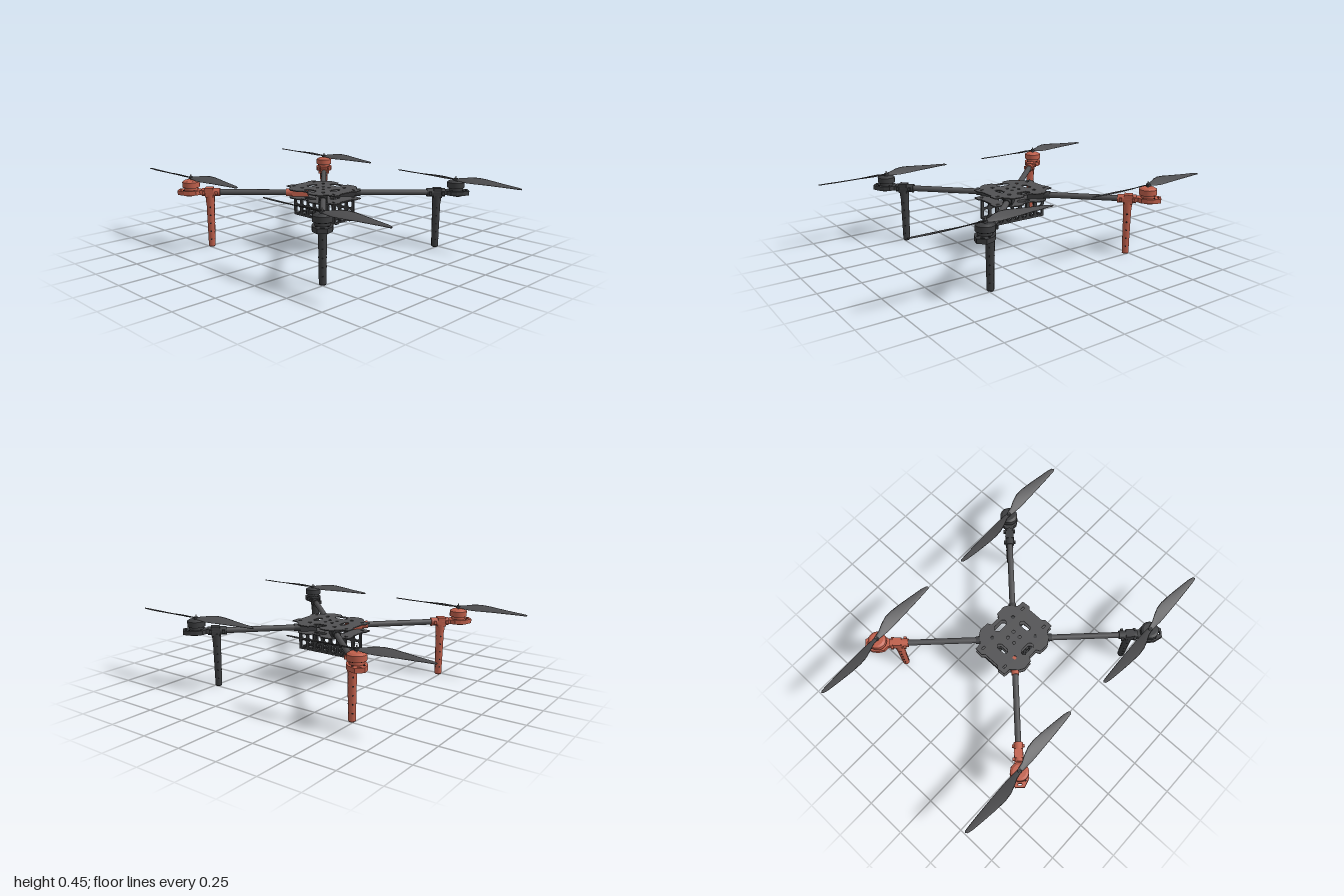
import * as THREE from 'three';

const mat = (name, color) => {
  const m = new THREE.MeshStandardMaterial({ color });
  m.name = name;
  return m;
};

export function createModel() {
  const root = new THREE.Group();
  root.name = 'quadcopter';
  const carbon = mat('carbon grey', 0x515153);
  const dark = mat('dark plastic', 0x3b3c3e);
  const red = mat('red plastic', 0xbf5f4b);
  const black = mat('recess black', 0x1c1c1e);
  const silver = mat('steel', 0xa8a8aa);

  const add = (parent, name, geo, m, x = 0, y = 0, z = 0) => {
    const mesh = new THREE.Mesh(geo, m);
    mesh.name = name;
    mesh.position.set(x, y, z);
    parent.add(mesh);
    return mesh;
  };
  const cyl = (rt, rb, h, n = 24) => new THREE.CylinderGeometry(rt, rb, h, n);
  const box = (w, h, d) => new THREE.BoxGeometry(w, h, d);
  const shapeOf = pts => new THREE.Shape(pts.map(p => new THREE.Vector2(...p)));
  // rectangle with cut corners, used for holes
  const cutRect = (x, y, w, h, c) => new THREE.Path([
    [-w + c, -h], [w - c, -h], [w, -h + c], [w, h - c],
    [w - c, h], [-w + c, h], [-w, h - c], [-w, -h + c],
  ].map(([a, b]) => new THREE.Vector2(x + a, y + b)));
  const extrude = (shape, depth) =>
    new THREE.ExtrudeGeometry(shape, { depth, bevelEnabled: false, curveSegments: 10 });
  const flat = (shape, t) => extrude(shape, t).rotateX(-Math.PI / 2);

  // ---- centre plates
  const q = [[0.03, 0.15], [0.042, 0.174], [0.1, 0.178], [0.13, 0.16], [0.148, 0.135],
    [0.165, 0.118], [0.205, 0.115], [0.208, 0.065], [0.193, 0.05]];
  const rev = q.slice().reverse();
  const outline = [...rev, ...q.map(([x, z]) => [-x, z]),
    ...rev.map(([x, z]) => [-x, -z]), ...q.map(([x, z]) => [x, -z])];
  const plateShape = () => {
    const s = shapeOf(outline);
    for (const k of [-1, 1]) {
      s.holes.push(cutRect(k * 0.098, 0, 0.017, 0.037, 0.012));
      s.holes.push(cutRect(0, k * 0.108, 0.043, 0.02, 0.014));
      s.holes.push(cutRect(k * 0.17, 0.085, 0.012, 0.006, 0.004));
      s.holes.push(cutRect(k * 0.17, -0.085, 0.012, 0.006, 0.004));
      for (const j of [-1, 1]) {
        s.holes.push(cutRect(k * 0.09, j * 0.09, 0.011, 0.011, 0.006));
        s.holes.push(cutRect(k * 0.025, j * 0.025, 0.009, 0.009, 0.005));
      }
    }
    return s;
  };
  add(root, 'topPlate', flat(plateShape(), 0.006), carbon, 0, 0.362, 0);
  add(root, 'bottomPlate', flat(plateShape(), 0.006), carbon, 0, 0.314, 0);
  for (const [x, z] of [[0, 0], [0.06, 0], [-0.06, 0], [0, 0.06], [0, -0.06]])
    add(root, 'standoff', cyl(0.004, 0.004, 0.048, 10), x ? dark : silver, x, 0.341, z);

  // ---- battery cage: an open tube along x made of perforated panels
  const panel = (w, h, rows, hw, hh, t) => {
    const s = shapeOf([[-w / 2, -h / 2], [w / 2, -h / 2], [w / 2, h / 2], [-w / 2, h / 2]]);
    for (let i = 0; i < 6; i++) for (let j = 0; j < rows; j++)
      s.holes.push(cutRect((i - 2.5) * 0.056, (j - (rows - 1) / 2) * (h / rows - 0.006),
        hw, hh, 0.008));
    return extrude(s, t);
  };
  const cage = new THREE.Group();
  cage.name = 'batteryCage';
  cage.position.x = 0.005;
  root.add(cage);
  add(cage, 'cageFront', panel(0.35, 0.126, 2, 0.018, 0.022, 0.01), dark, 0, 0.252, 0.075);
  add(cage, 'cageBack', panel(0.35, 0.126, 2, 0.018, 0.022, 0.01), dark, 0, 0.252, -0.085);
  add(cage, 'cageFloor', panel(0.35, 0.15, 2, 0.02, 0.026, 0.01).rotateX(-Math.PI / 2),
    dark, 0, 0.189, 0);
  for (const x of [-0.168, -0.056, 0.056, 0.168])
    add(cage, 'cageTopBar', box(0.014, 0.01, 0.15), dark, x, 0.31, 0);
  for (const x of [-0.065, 0.065, 0.16]) for (const z of [-0.058, 0.058])
    add(cage, 'cageFoot', box(0.024, 0.007, 0.026), dark, x, 0.1865, z);

  // ---- propeller: two twisted blades lofted from thin cross-sections
  // [radius, leading z, trailing z, leading y, trailing y]
  const sections = [[0, -0.012, 0.012, 0.003, -0.003], [0.04, -0.02, 0.014, 0.01, -0.007],
    [0.08, -0.038, 0.016, 0.017, -0.01], [0.125, -0.053, 0.015, 0.019, -0.009],
    [0.17, -0.057, 0.013, 0.017, -0.007], [0.24, -0.052, 0.01, 0.012, -0.004],
    [0.33, -0.041, 0.005, 0.007, -0.002], [0.4, -0.031, 0, 0.005, 0],
    [0.428, -0.023, -0.003, 0.003, 0], [0.435, -0.014, -0.008, 0.002, 0.001]];
  const bladeGeo = () => {
    const n = 10, pos = [], idx = [];
    for (const [r, z0, z1, y0, y1] of sections) for (let i = 0; i < n; i++) {
      const a = (i / n) * Math.PI * 2, u = (1 - Math.cos(a)) / 2;
      pos.push(r, y0 + (y1 - y0) * u + Math.sin(a) * 0.003, z0 + (z1 - z0) * u);
    }
    for (let s = 0; s < sections.length - 1; s++) for (let i = 0; i < n; i++) {
      const a = s * n + i, b = s * n + (i + 1) % n;
      idx.push(a, b, a + n, b, b + n, a + n);
    }
    const g = new THREE.BufferGeometry();
    g.setAttribute('position', new THREE.Float32BufferAttribute(pos, 3));
    g.setIndex(idx);
    g.computeVertexNormals();
    return g;
  };
  const blade = bladeGeo();
  const bladeMat = mat('propeller grey', 0x4f4f51);
  bladeMat.side = THREE.DoubleSide;

  // ---- motor mount outline, along the arm
  const half = [[0.7, 0.024], [0.745, 0.026], [0.765, 0.047], [0.8, 0.054], [0.835, 0.05],
    [0.878, 0.026]];
  const mountShape = () => {
    const s = shapeOf([...half.map(([d, t]) => [d, -t]), ...half.slice().reverse()]);
    s.holes.push(cutRect(0.862, 0, 0.006, 0.012, 0.004));
    return s;
  };

  for (const sx of [-1, 1]) for (const sz of [-1, 1]) {
    const m = sx < 0 ? red : dark;
    const arm = new THREE.Group();
    arm.name = (sz > 0 ? 'front' : 'back') + (sx > 0 ? 'Left' : 'Right') + 'Arm';
    arm.rotation.y = Math.atan2(-sz, sx);
    root.add(arm);
    const along = (name, r, d0, d1, mm, n) => add(arm, name,
      cyl(r, r, d1 - d0, n).rotateX(0).rotateZ(-Math.PI / 2), mm, (d0 + d1) / 2, 0.341, 0);

    along('armTube', 0.0175, 0.1, 0.7, carbon, 20);
    // folding clamp between the plates; only the front red arm carries a red one
    const inner = sx < 0 && sz > 0 ? red : dark;
    add(arm, 'armRootClamp', box(0.1, 0.042, 0.052), inner, 0.14, 0.341, 0);
    along('armRootCollar', 0.023, 0.19, 0.225, inner, 12);

    // outer clamp and motor mount
    along('armEndClamp', 0.026, 0.625, 0.735, m, 12);
    add(arm, 'clampBlock', box(0.05, 0.056, 0.05), m, 0.69, 0.341, 0);
    for (const t of [-1, 1]) for (const d of [0.645, 0.72])
      add(arm, 'clampLug', box(0.016, 0.02, 0.014), m, d, 0.341, t * 0.029);
    add(arm, 'motorMount', flat(mountShape(), 0.026), m, 0, 0.329, 0);
    add(arm, 'mountUnderside', cyl(0.034, 0.03, 0.01, 12), m, 0.81, 0.325, 0);
    for (const [d, t] of [[0.775, 0.03], [0.775, -0.03], [0.84, 0.03], [0.84, -0.03]])
      add(arm, 'mountScrew', cyl(0.006, 0.006, 0.008, 8), black, d, 0.354, t);

    // motor
    add(arm, 'motorBase', cyl(0.04, 0.04, 0.018), m, 0.8, 0.363, 0);
    add(arm, 'motorGap', cyl(0.046, 0.046, 0.004), black, 0.8, 0.373, 0);
    add(arm, 'motorBell', cyl(0.052, 0.052, 0.032, 32), m, 0.8, 0.39, 0);
    add(arm, 'motorCap', cyl(0.038, 0.052, 0.009, 32), m, 0.8, 0.4105, 0);

    // landing leg
    add(arm, 'legSocket', cyl(0.029, 0.027, 0.05, 8).rotateY(Math.PI / 8), m, 0.686, 0.3, 0);
    add(arm, 'landingLeg', cyl(0.0255, 0.021, 0.295, 8).rotateY(Math.PI / 8), m, 0.686, 0.1525, 0);
    add(arm, 'legFoot', cyl(0.021, 0.017, 0.005, 8).rotateY(Math.PI / 8), m, 0.686, 0.0025, 0);
    for (let i = 0; i < 5; i++) {
      const y = 0.05 + i * 0.05, w = 2 * Math.cos(Math.PI / 8) * (0.021 + 0.0045 * y / 0.3) + 0.002;
      add(arm, 'legHoleAcross', cyl(0.005, 0.005, w, 10).rotateX(Math.PI / 2), black, 0.686, y, 0);
      add(arm, 'legHoleAlong', cyl(0.005, 0.005, w, 10).rotateZ(Math.PI / 2), black, 0.686, y, 0);
    }

    // propeller, all four parked alike
    const prop = new THREE.Group();
    prop.name = 'propeller';
    prop.position.set(sx * 0.565, sx < 0 ? 0.43 : 0.422, sz * 0.565);
    root.add(prop);
    for (const turn of [0, Math.PI])
      add(prop, 'propellerBlade', blade, bladeMat).rotation.y = turn;
    add(prop, 'propellerHub', cyl(0.012, 0.014, 0.014, 16), dark);
    add(prop, 'propellerShaft', cyl(0.004, 0.004, 0.034, 10), silver, 0, 0.003, 0);
  }
  return root;
}
